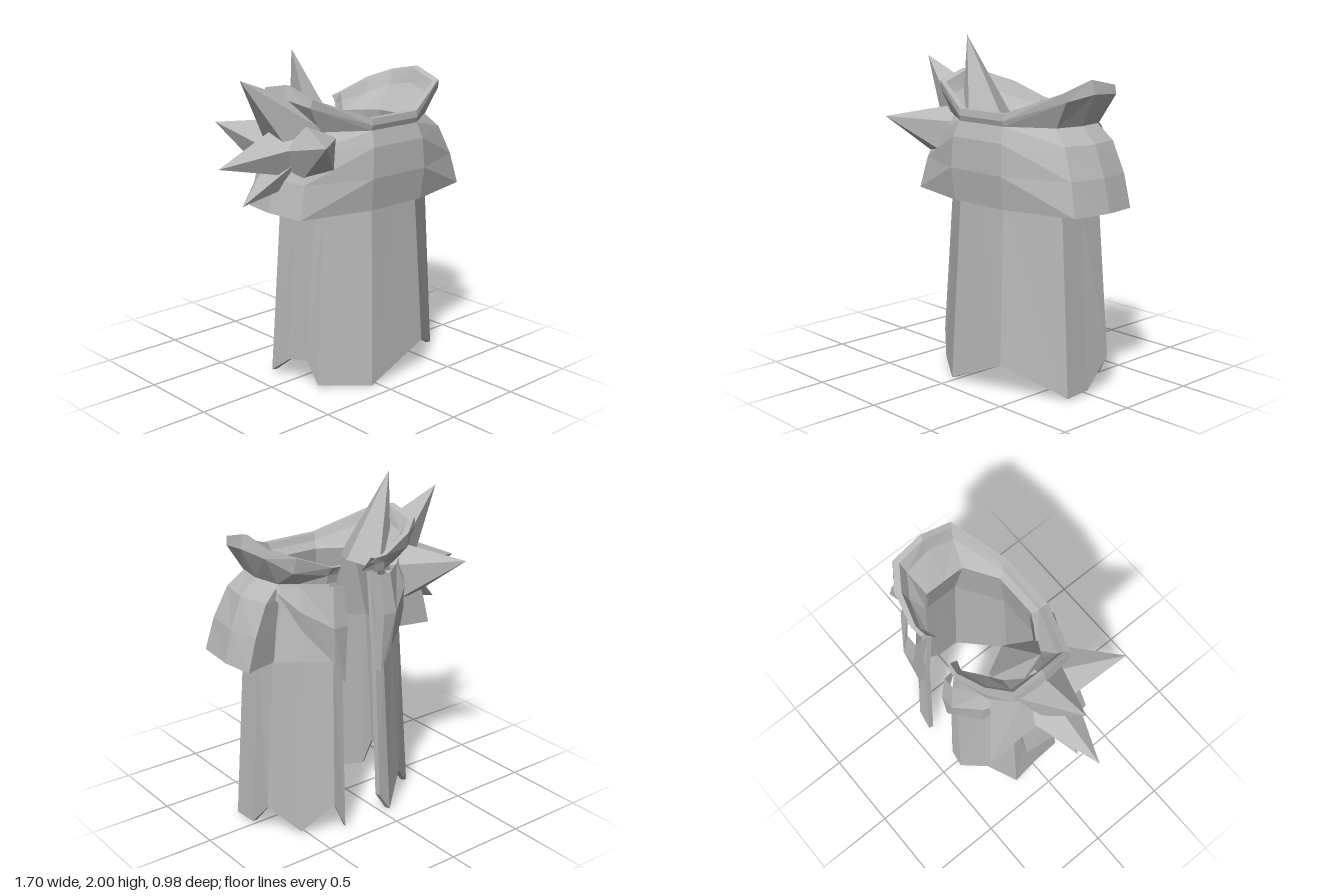
import * as THREE from 'three';

const CX = 0.17; // the garment is mirrored about this x

const cloth = new THREE.MeshStandardMaterial({ color: 0xb8b8b8, flatShading: true, side: THREE.DoubleSide });
cloth.name = 'grey';

// Surface through columns of [u, y, z] points, u being the distance from the mirror plane
function panel(name, columns, side) {
  const pos = [];
  const put = (p) => pos.push(CX + side * p[0], p[1], p[2]);
  for (let i = 0; i < columns.length - 1; i++) {
    const a = columns[i], b = columns[i + 1];
    for (let j = 0; j < a.length - 1; j++) {
      const quad = [a[j], a[j + 1], b[j + 1], a[j], b[j + 1], b[j]];
      (side > 0 ? quad : quad.reverse()).forEach(put);
    }
  }
  const geo = new THREE.BufferGeometry();
  geo.setAttribute('position', new THREE.Float32BufferAttribute(pos, 3));
  geo.computeVertexNormals();
  const mesh = new THREE.Mesh(geo, cloth);
  mesh.name = name;
  return mesh;
}

// Robe outline from front centre round to the back opening:
// [u, z] at the hem, at the waist and at the neck
const robe = [
  [0, 0.385, 0, 0.335, 0, 0.26],
  [0.21, 0.385, 0.18, 0.335, 0.14, 0.26],
  [0.48, 0.2, 0.416, 0.179, 0.31, 0.15],
  [0.53, 0.165, 0.46, 0.15, 0.34, 0.13],
  [0.53, 0, 0.46, 0, 0.34, 0],
  [0.53, -0.165, 0.46, -0.15, 0.34, -0.13],
  [0.37, -0.275, 0.32, -0.245, 0.27, -0.2],
  [0.21, -0.385, 0.18, -0.34, 0.17, -0.29],
  [0.13, -0.385, 0.12, -0.34, 0.12, -0.29],
];
// Ragged hem heights on each side
const hems = {
  1: [0.09, 0.18, 0.04, 0.01, 0.02, 0.19, 0.02, 0.19, 0.02],
  '-1': [0.09, 0, 0.02, 0.18, 0.14, 0.02, 0.18, 0.02, 0.14],
};

// Thick cloth: down the outside, round the hem, up the lining, closed at the opening
function robeColumns(side) {
  const lining = ([u, y, z]) => [u * 0.945, y, z * 0.92];
  const columns = robe.map((c, i) => {
    const outer = [[c[4], 1.53, c[5]], [c[2], 1.08, c[3]], [c[0], hems[side][i], c[1]]];
    return [...outer, ...outer.map(lining).reverse()];
  });
  const inner = columns[columns.length - 1].slice(3);
  columns.push([...[...inner].reverse(), ...inner]);
  return columns;
}

// Shoulder cape columns, top to bottom, the last point turning under to the robe
const capeY = [1.54, 1.45, 1.27, 1.08, 1.09];
const cape = [
  [[0, 0, 0, 0, 0], [0.34, 0.37, 0.38, 0.36, 0.33]],
  [[0.18, 0.2, 0.21, 0.2, 0.17], [0.34, 0.37, 0.38, 0.36, 0.33]],
  [[0.42, 0.52, 0.6, 0.65, 0.45], [0.17, 0.2, 0.23, 0.25, 0.15]],
  [[0.46, 0.56, 0.63, 0.675, 0.45], [0, 0, 0, 0, 0]],
  [[0.42, 0.52, 0.6, 0.65, 0.45], [-0.17, -0.19, -0.2, -0.2, -0.15]],
  [[0.41, 0.42, 0.44, 0.45, 0.45], [-0.17, -0.17, -0.16, -0.15, -0.15]],
].map(([u, z]) => capeY.map((y, j) => [u[j], y, z[j]]));

// Pointed back lapel hanging from the shoulder (down to y = drop there) to the opening
const lapel = (drop) => [
  [[0.44, 1.54, -0.17], [0.45, 1.5, -0.19], [0.46, drop, -0.19]],
  [[0.34, 1.53, -0.26], [0.37, 1.4, -0.3], [0.35, drop * 0.5 + 0.55, -0.29]],
  [[0.2, 1.53, -0.37], [0.22, 1.3, -0.405], [0.2, 1.08, -0.385]],
  [[0.13, 1.53, -0.37], [0.13, 1.3, -0.405], [0.13, 0.95, -0.385]],
  [[0.12, 1.53, -0.29], [0.12, 1.3, -0.34], [0.12, 0.95, -0.335]],
];

// Flared collar: outer base, bulge, outer rim, inner rim, lining step, inner base
const collar = [
  [[0, 1.54, 0.33], [0, 1.57, 0.34], [0, 1.61, 0.335], [0, 1.61, 0.3], [0, 1.57, 0.285], [0, 1.53, 0.25]],
  [[0.18, 1.54, 0.33], [0.18, 1.57, 0.34], [0.18, 1.61, 0.335], [0.17, 1.61, 0.3], [0.16, 1.57, 0.285], [0.14, 1.53, 0.25]],
  [[0.43, 1.54, 0.17], [0.52, 1.69, 0.19], [0.51, 1.74, 0.2], [0.48, 1.73, 0.18], [0.45, 1.66, 0.165], [0.33, 1.53, 0.13]],
  [[0.46, 1.54, 0], [0.55, 1.72, 0], [0.53, 1.8, 0], [0.5, 1.79, 0], [0.47, 1.7, 0], [0.33, 1.53, 0]],
  [[0.43, 1.54, -0.17], [0.53, 1.71, -0.2], [0.52, 1.76, -0.2], [0.49, 1.75, -0.18], [0.45, 1.67, -0.165], [0.33, 1.53, -0.13]],
  [[0.34, 1.54, -0.24], [0.4, 1.62, -0.28], [0.39, 1.71, -0.3], [0.36, 1.7, -0.27], [0.33, 1.62, -0.245], [0.26, 1.53, -0.19]],
  [[0.2, 1.53, -0.31], [0.2, 1.58, -0.32], [0.19, 1.63, -0.345], [0.18, 1.63, -0.32], [0.17, 1.58, -0.3], [0.15, 1.53, -0.27]],
  [[0.13, 1.53, -0.31], [0.13, 1.58, -0.32], [0.12, 1.62, -0.335], [0.11, 1.62, -0.31], [0.1, 1.58, -0.285], [0.09, 1.53, -0.25]],
];

// Faceted spike from base point to tip, optionally wider front to back
function spike(base, tip, radius, widen = 1) {
  const a = new THREE.Vector3(...base), b = new THREE.Vector3(...tip);
  const dir = b.clone().sub(a);
  const geo = new THREE.ConeGeometry(radius, dir.length(), 5).rotateY(Math.PI / 2).scale(1, 1, widen);
  const mesh = new THREE.Mesh(geo, cloth);
  mesh.quaternion.setFromUnitVectors(new THREE.Vector3(0, 1, 0), dir.normalize());
  mesh.position.copy(a).add(b).multiplyScalar(0.5);
  mesh.name = 'shoulderSpike';
  return mesh;
}

export function createModel() {
  const group = new THREE.Group();
  group.name = 'spikedCloak';
  for (const side of [1, -1]) {
    const label = side > 0 ? 'left' : 'right';
    group.add(
      panel(label + 'Robe', robeColumns(side), side),
      panel(label + 'ShoulderCape', cape, side),
      panel(label + 'BackLapel', lapel(side > 0 ? 1.46 : 1.22), side),
      panel(label + 'Collar', collar, side),
    );
  }

  // Cluster of spikes on the right shoulder
  const spikes = new THREE.Group();
  spikes.name = 'shoulderSpikes';
  spikes.add(
    spike([-0.14, 1.47, 0], [-0.32, 2, 0], 0.14, 1.4),
    spike([-0.3, 1.52, 0], [-0.69, 1.86, 0], 0.19),
    spike([-0.32, 1.43, 0], [-0.85, 1.39, 0], 0.19, 1.1),
    spike([-0.31, 1.39, 0], [-0.69, 1.15, 0], 0.17),
    spike([-0.31, 1.42, 0.15], [-0.5, 1.535, 0.49], 0.18),
    spike([-0.31, 1.42, -0.15], [-0.5, 1.535, -0.49], 0.18),
  );
  group.add(spikes);
  return group;
}
